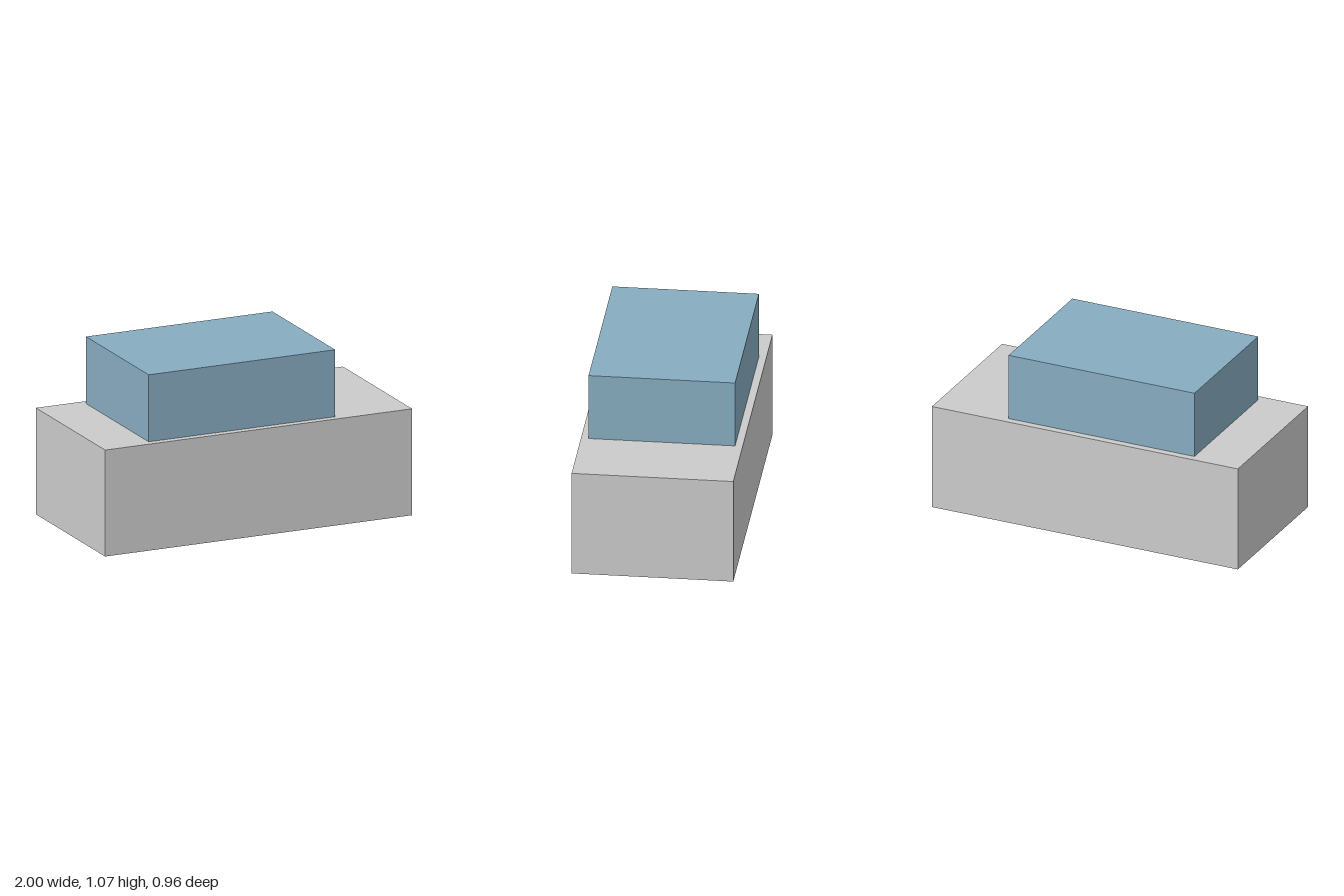
import * as THREE from 'three';

// Box given by its lower and upper corners
function addBox(group, name, min, max, color) {
  const size = max.map((v, i) => v - min[i]);
  const mesh = new THREE.Mesh(
    new THREE.BoxGeometry(...size),
    new THREE.MeshStandardMaterial({ color })
  );
  mesh.position.set(...min.map((v, i) => (v + max[i]) / 2));
  mesh.name = name;
  group.add(mesh);
}

export function createModel() {
  const model = new THREE.Group();
  model.name = 'blockCar';

  // Long lower body
  addBox(model, 'body', [-1, 0, -0.48], [1, 0.655, 0.48], 0xcccccc);

  // Cabin, set slightly toward -x
  addBox(model, 'cabin', [-0.695, 0.655, -0.435], [0.52, 1.067, 0.435], 0x87acc0);

  return model;
}
